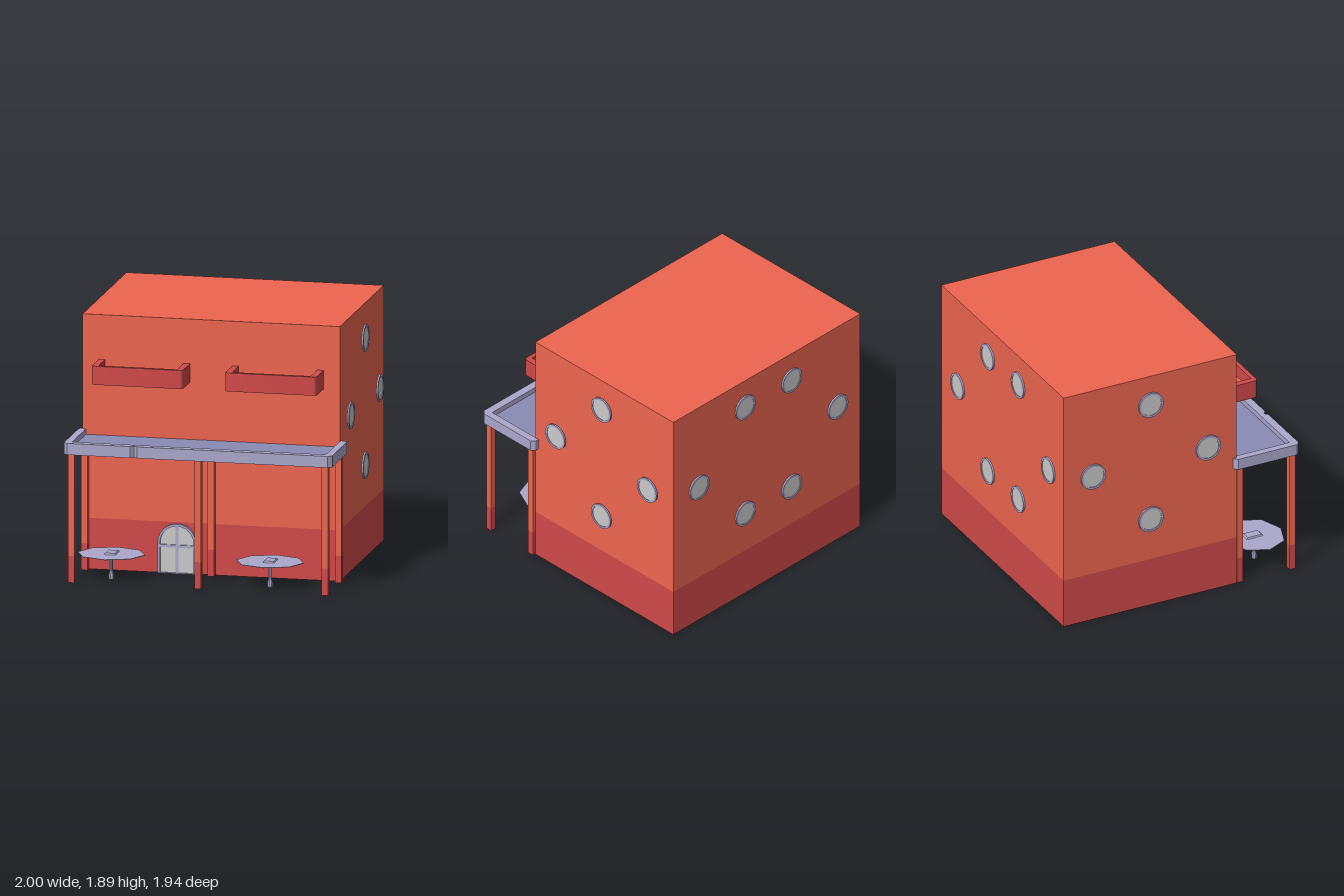
import * as THREE from 'three';
import { toCreasedNormals } from 'three/addons/utils/BufferGeometryUtils.js';

const mat = (color) => new THREE.MeshStandardMaterial({ color });
const ORANGE = mat(0xee6650), RED = mat(0xd24a4a), LAVENDER = mat(0xaca8cc);
const DECK = mat(0x8c8ab4), GLASS = mat(0xcccccc), GREEN = mat(0x00684c), GREY = mat(0x808080);

const FRONT = 0.46, BACK = -0.957, LEFT = 0.947, RIGHT = -0.97, TOP = 1.895;

function add(parent, name, geometry, material) {
  const mesh = new THREE.Mesh(geometry, material);
  mesh.name = name;
  parent.add(mesh);
  return mesh;
}

// Box given by its limits
function span(parent, name, material, x0, x1, y0, y1, z0, z1) {
  const m = add(parent, name, new THREE.BoxGeometry(x1 - x0, y1 - y0, z1 - z0), material);
  m.position.set((x0 + x1) / 2, (y0 + y1) / 2, (z0 + z1) / 2);
  return m;
}

function group(parent, name) {
  const g = new THREE.Group();
  g.name = name;
  parent.add(g);
  return g;
}

// Extrude a plan outline (shape y = -z) upward from y0 to y1
function extrudeUp(shape, y0, y1) {
  const g = new THREE.ExtrudeGeometry(shape, { depth: y1 - y0, bevelEnabled: false, curveSegments: 6 });
  g.rotateX(-Math.PI / 2).translate(0, y0, 0);
  return g;
}

const plan = (points) => points.map(([x, z]) => new THREE.Vector2(x, -z));

// Round window whose axis is local +y
function roundWindow(parent, position, direction) {
  const w = group(parent, 'roundWindow');
  const r = 0.083, R = 0.1, h = 0.013;
  const profile = [[r, 0], [R, 0], [R, h], [r, h], [r, 0]].map((p) => new THREE.Vector2(...p));
  add(w, 'windowFrame', toCreasedNormals(new THREE.LatheGeometry(profile, 32), 0.6), LAVENDER);
  add(w, 'windowGlass', new THREE.CylinderGeometry(r, r, 0.008, 32), GLASS).position.y = 0.005;
  w.position.set(...position);
  w.quaternion.setFromUnitVectors(new THREE.Vector3(0, 1, 0), new THREE.Vector3(...direction));
}

function archShape(half, bottom, spring) {
  const s = new THREE.Shape();
  s.moveTo(-half, bottom);
  s.lineTo(half, bottom);
  s.lineTo(half, spring);
  s.absarc(0, spring, half, 0, Math.PI, false);
  s.lineTo(-half, bottom);
  return s;
}

function door(parent) {
  const d = group(parent, 'door');
  const outer = archShape(0.143, 0, 0.227), inner = archShape(0.126, 0.006, 0.227);
  outer.holes.push(inner);
  const extrude = (s, depth) => toCreasedNormals(
    new THREE.ExtrudeGeometry(s, { depth, bevelEnabled: false, curveSegments: 20 }), 0.6);
  add(d, 'doorFrame', extrude(outer, 0.025), LAVENDER);
  add(d, 'doorGlass', extrude(inner, 0.01), GLASS);
  span(d, 'doorMullion', LAVENDER, -0.01, 0.01, 0, 0.355, 0, 0.02);
  span(d, 'doorCrossbar', LAVENDER, -0.13, 0.13, 0.194, 0.214, 0, 0.02);
  d.position.set(-0.263, 0, FRONT);
}

// U-shaped parapet with rounded outer corners around a floor
function balcony(parent, x) {
  const b = group(parent, 'balcony');
  const w = 0.34, t = 0.048, r = 0.03, z = 0.697, zi = 0.665;
  const s = new THREE.Shape();
  s.moveTo(-w, -FRONT);
  s.lineTo(-w, -z + r);
  s.quadraticCurveTo(-w, -z, -w + r, -z);
  s.lineTo(w - r, -z);
  s.quadraticCurveTo(w, -z, w, -z + r);
  s.lineTo(w, -FRONT);
  s.lineTo(w - t, -FRONT);
  s.lineTo(w - t, -zi);
  s.lineTo(-w + t, -zi);
  s.lineTo(-w + t, -FRONT);
  s.closePath();
  add(b, 'parapet', toCreasedNormals(extrudeUp(s, 1.425, 1.563), 0.6), RED);
  span(b, 'balconyFloor', ORANGE, -w + t, w - t, 1.427, 1.47, FRONT, zi);
  b.position.x = x;
}

function canopy(parent) {
  const c = group(parent, 'canopy');
  const z0 = 0.43, z1 = 0.965, k = 0.028;
  // Chamfered rim with a small V notch in its front edge
  const rim = new THREE.Shape(plan([
    [-1, z0 + k], [-1, z1 - k], [-1 + k, z1], [-0.5, z1], [-0.475, z1 - 0.025], [-0.45, z1],
    [1 - k, z1], [1, z1 - k], [1, z0 + k], [1 - k, z0], [-1 + k, z0],
  ]));
  rim.holes.push(new THREE.Path(plan([[-0.945, 0.44], [0.945, 0.44], [0.945, 0.905], [-0.945, 0.905]])));
  add(c, 'canopyRim', extrudeUp(rim, 0.955, 1.04), LAVENDER);
  span(c, 'canopyDeck', DECK, -0.945, 0.945, 0.957, 1.0, 0.44, 0.905);
  // Two rows of three two-tone posts
  for (const x of [-0.945, -0.002, 0.945]) {
    for (const z of [0.488, 0.918]) {
      const p = group(c, 'post');
      span(p, 'postBase', RED, -0.024, 0.024, 0, 0.2, -0.024, 0.024);
      span(p, 'postShaft', ORANGE, -0.024, 0.024, 0.2, 0.957, -0.024, 0.024);
      p.position.set(x, 0, z);
    }
  }
}

function table(parent, x) {
  const t = group(parent, 'table');
  const flat = LAVENDER.clone();
  flat.flatShading = true;
  add(t, 'tableTop', new THREE.CylinderGeometry(0.25, 0.25, 0.004, 8), flat).position.y = 0.187;
  // Grey underside with a green centre
  [[0.249, 0.1845, GREY], [0.19, 0.183, GREEN]].forEach(([r, y, m]) => {
    const g = new THREE.CircleGeometry(r, 8).rotateX(Math.PI / 2);
    add(t, 'tableUnderside', g, m).position.y = y;
  });
  t.children.forEach((m) => { m.scale.z = 0.88; });
  const centre = add(t, 'centrePlate', new THREE.CylinderGeometry(0.05, 0.06, 0.012, 4, 1, false, Math.PI / 4), flat);
  centre.position.set(0, 0.194, -0.012);
  centre.scale.z = 1.6;
  const profile = [[0, 0], [0.021, 0], [0.021, 0.03], [0.012, 0.06], [0.012, 0.185]];
  add(t, 'tableLeg', new THREE.LatheGeometry(profile.map((p) => new THREE.Vector2(...p)), 8), flat);
  t.position.set(x, 0, 0.748);
}

export function createModel() {
  const model = new THREE.Group();
  model.name = 'building';

  // Main block with a darker base
  span(model, 'lowerWalls', RED, RIGHT, LEFT, 0, 0.38, BACK, FRONT);
  span(model, 'upperWalls', ORANGE, RIGHT, LEFT, 0.38, TOP, BACK, FRONT);

  // Windows: diamond on both sides, six on the back
  for (const [z, y] of [[-0.245, 1.66], [0.225, 1.185], [-0.717, 1.185], [-0.245, 0.712]]) {
    roundWindow(model, [0.969, y, z], [1, 0, 0]);
    roundWindow(model, [RIGHT, y, z], [-1, 0, 0]);
  }
  for (const [x, y] of [[0.213, 1.66], [-0.263, 1.66], [0.686, 1.185], [-0.736, 1.185], [0.213, 0.712], [-0.263, 0.712]]) {
    roundWindow(model, [x, y, BACK], [0, 0, -1]);
  }

  door(model);
  for (const x of [-0.51, 0.485]) balcony(model, x);
  canopy(model);
  for (const x of [-0.69, 0.493]) table(model, x);
  return model;
}
